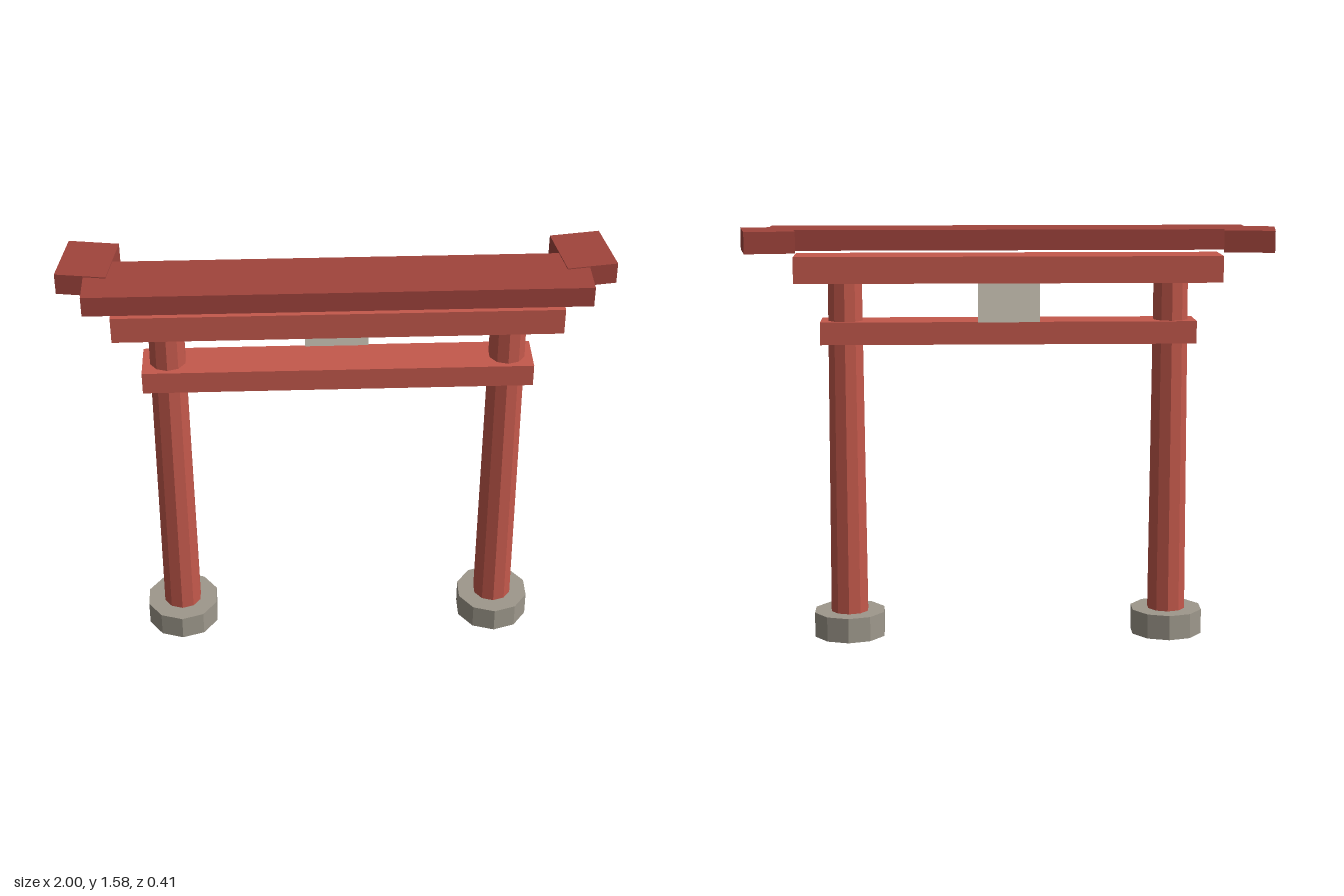
import * as THREE from 'three';

const material = (color) => new THREE.MeshStandardMaterial({ color, flatShading: true });

export function createModel() {
  const gate = new THREE.Group();
  gate.name = 'gate';
  const red = material(0xc4594c);
  const darkRed = material(0xa0443c);
  const stone = material(0x9e988c);
  const pale = material(0xd6cfbf);

  const add = (name, geometry, mat, x, y, z) => {
    const mesh = new THREE.Mesh(geometry, mat);
    mesh.name = name;
    mesh.position.set(x, y, z);
    gate.add(mesh);
    return mesh;
  };
  // Box centred on x, given its width and its y and z ranges
  const beam = (name, mat, width, y0, y1, z0, z1) =>
    add(name, new THREE.BoxGeometry(width, y1 - y0, z1 - z0), mat, 0, (y0 + y1) / 2, (z0 + z1) / 2);

  // Horizontal beams and centre plaque
  beam('lowerBeam', red, 1.416, 1.143, 1.228, -0.019, 0.144);
  beam('upperBeam', red, 1.608, 1.374, 1.474, -0.031, 0.158);
  beam('topBeam', darkRed, 1.796, 1.5, 1.576, -0.06, 0.179);
  beam('plaque', pale, 0.232, 1.228, 1.376, -0.03, -0.013);

  // Pillars, stone feet and angled beam tips, one of each per side
  for (const [side, s] of [['left', 1], ['right', -1]]) {
    add(side + 'Foot', new THREE.CylinderGeometry(0.14, 0.14, 0.096, 10), stone, s * 0.616, 0.048, 0.061);
    add(side + 'Pillar', new THREE.CylinderGeometry(0.066, 0.074, 1.4, 10), red, s * 0.616, 0.7, 0.061);
    const tip = add(side + 'BeamTip', new THREE.BoxGeometry(0.185, 0.08, 0.234), darkRed, s * 0.891, 1.54, -0.076);
    tip.rotation.y = s * 0.15;
  }
  return gate;
}
